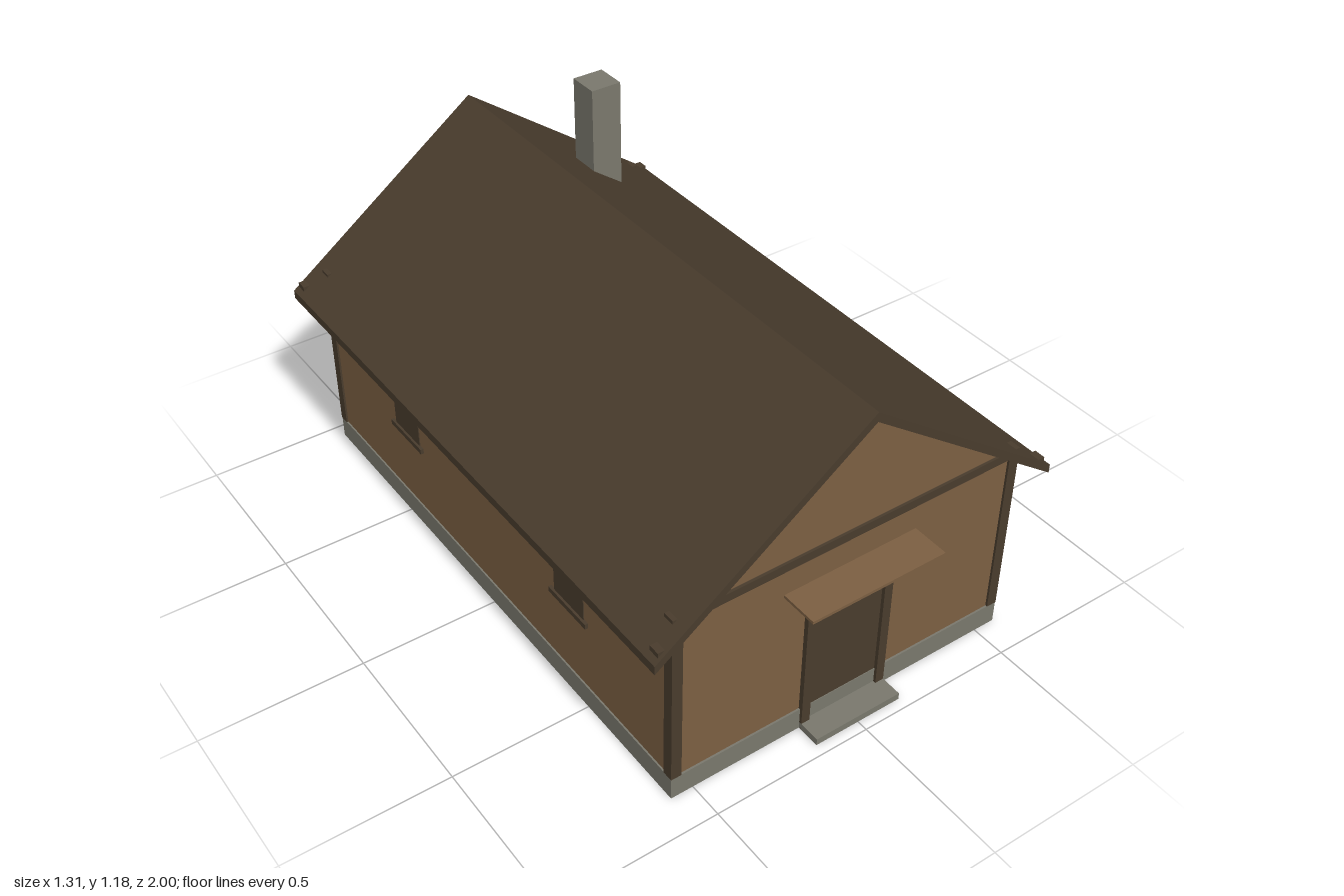
import * as THREE from 'three';

const material = (name, color) => {
  const m = new THREE.MeshStandardMaterial({ color });
  m.name = name;
  return m;
};

export function createModel() {
  const house = new THREE.Group();
  house.name = 'house';
  const wood = material('wall wood', 0x7c5f42);
  const dark = material('dark timber', 0x493c2d);
  const stone = material('stone', 0x7a786d);

  // Box given by its limits on each axis
  const box = (name, mat, x0, x1, y0, y1, z0, z1, parent = house) => {
    const mesh = new THREE.Mesh(new THREE.BoxGeometry(x1 - x0, y1 - y0, z1 - z0), mat);
    mesh.position.set((x0 + x1) / 2, (y0 + y1) / 2, (z0 + z1) / 2);
    mesh.name = name;
    parent.add(mesh);
    return mesh;
  };
  // Outline in x and y, extruded from z0 to z1
  const prism = (name, mat, points, z0, z1) => {
    const shape = new THREE.Shape(points.map(([x, y]) => new THREE.Vector2(x, y)));
    const mesh = new THREE.Mesh(
      new THREE.ExtrudeGeometry(shape, { depth: z1 - z0, bevelEnabled: false }), mat);
    mesh.position.z = z0;
    mesh.name = name;
    house.add(mesh);
  };
  // Flat one-sided panel
  const panel = (name, mat, w, h, x, y, z, rx, ry) => {
    const mesh = new THREE.Mesh(new THREE.PlaneGeometry(w, h), mat);
    mesh.position.set(x, y, z);
    mesh.rotation.set(rx, ry, 0);
    mesh.name = name;
    house.add(mesh);
  };

  // Foundation: a skirt open below, with the floor's underside and a top ledge
  const [baseY, baseZ, baseD] = [0.072, -0.031, 1.842];
  for (const s of [-1, 1]) {
    panel('foundationSide', stone, baseD, baseY, s * 0.57, baseY / 2, baseZ, 0, s * Math.PI / 2);
    panel('foundationEnd', stone, 1.14, baseY, 0, baseY / 2, baseZ + s * baseD / 2, 0, s > 0 ? 0 : Math.PI);
    panel(s > 0 ? 'floorUnderside' : 'foundationTop', stone, 1.14, baseD, 0,
      s > 0 ? baseY - 0.003 : baseY, baseZ, s * Math.PI / 2, 0);
  }

  // Gabled walls
  prism('walls', wood,
    [[-0.565, 0.071], [0.565, 0.071], [0.565, 0.612], [0, 1.022], [-0.565, 0.612]], -0.946, 0.884);

  // Roof, a folded slab with vertical eaves
  prism('roof', dark,
    [[0, 1.05], [-0.653, 0.575], [-0.653, 0.547], [0, 1.02], [0.653, 0.547], [0.653, 0.575]], -1, 0.934);
  box('chimney', stone, 0.19, 0.29, 0.8, 1.182, -0.69, -0.59);

  // Corner posts and the eave pegs poking through the roof
  for (const s of [-1, 1]) {
    for (const [z0, z1, p0, p1] of [[0.857, 0.891, 0.89, 0.924], [-0.954, -0.92, -0.994, -0.96]]) {
      const x = s * 0.5545;
      box('cornerPost', dark, x - 0.0165, x + 0.0165, 0.072, 0.645, z0, z1);
      box('eavePeg', dark, s * 0.621 - 0.016, s * 0.621 + 0.016, 0.578, 0.602, p0, p1);
    }
  }
  box('gableBeam', dark, -0.57, 0.57, 0.618, 0.645, 0.857, 0.892);

  // Shuttered window, built facing +z at the origin
  const addWindow = (x, z, turn, hasSill) => {
    const w = new THREE.Group();
    w.name = 'window';
    box('shutter', dark, -0.072, 0.072, 0.31, 0.495, -0.004, 0.003, w);
    box('windowLintel', dark, -0.09, 0.09, 0.492, 0.515, -0.005, 0.01, w);
    if (hasSill) box('windowSill', dark, -0.09, 0.09, 0.3, 0.317, -0.005, 0.01, w);
    w.position.set(x, 0, z);
    w.rotation.y = turn;
    house.add(w);
  };
  for (const s of [-1, 1]) {
    for (const z of [0.412, -0.475]) addWindow(s * 0.565, z, s * Math.PI / 2, true);
    addWindow(s * 0.305, -0.946, Math.PI, false);
  }

  // Doorway with frame, step and canopy
  box('door', dark, -0.117, 0.117, 0.072, 0.487, 0.88, 0.888);
  for (const s of [-1, 1])
    box('doorPost', dark, s * 0.131 - 0.014, s * 0.131 + 0.014, 0, 0.492, 0.882, 0.899);
  box('doorLintel', dark, -0.157, 0.157, 0.49, 0.522, 0.88, 0.902);
  box('doorStep', stone, -0.145, 0.145, 0, 0.022, 0.89, 0.966);
  box('canopy', wood, -0.22, 0.22, 0.522, 0.531, 0.88, 1);

  return house;
}
